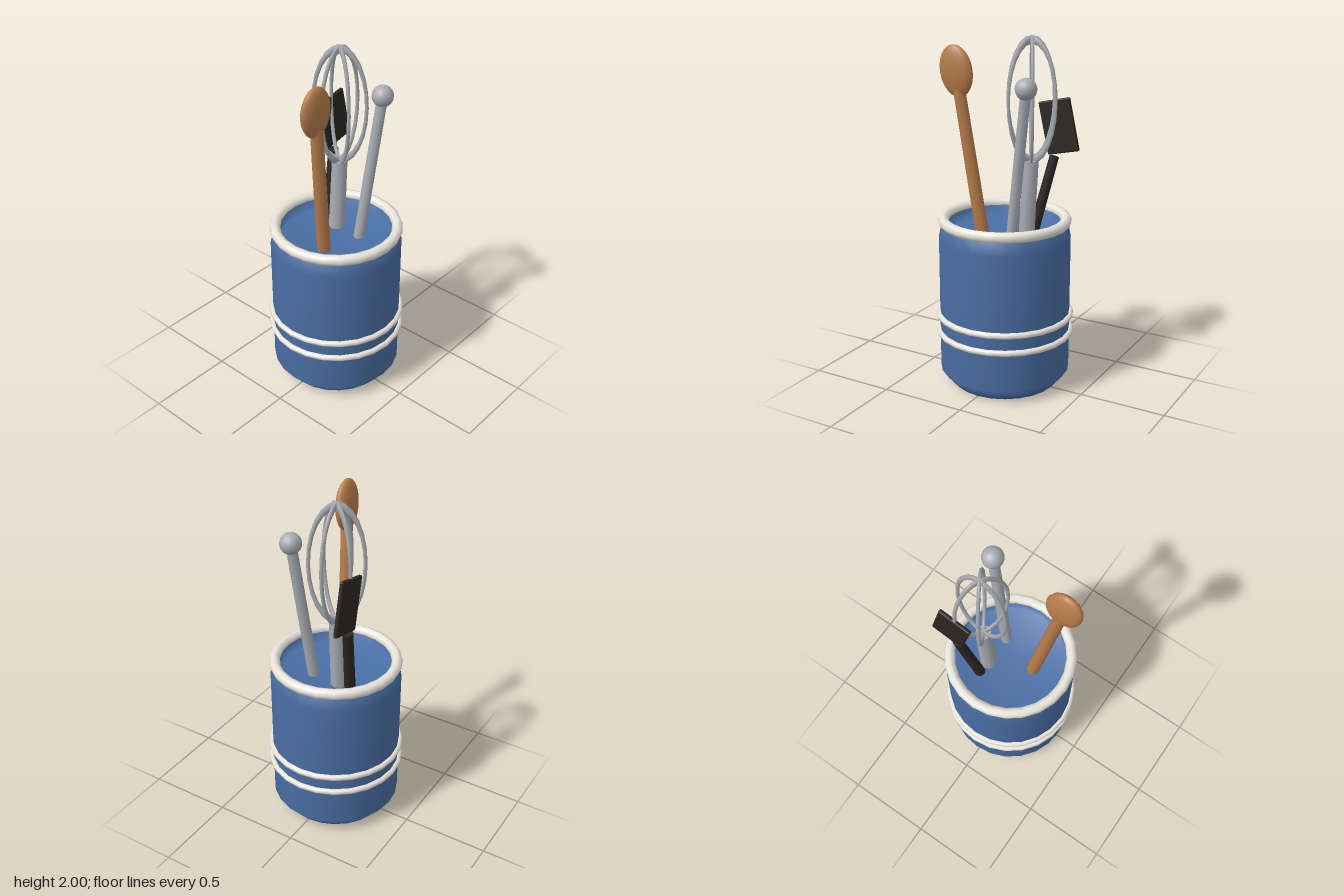
import * as THREE from 'three';
import { RoundedBoxGeometry } from 'three/addons/geometries/RoundedBoxGeometry.js';

const UP = new THREE.Vector3(0, 1, 0);
const material = (color) => new THREE.MeshStandardMaterial({ color });

function addMesh(parent, name, geometry, mat, x = 0, y = 0, z = 0) {
  const mesh = new THREE.Mesh(geometry, mat);
  mesh.name = name;
  mesh.position.set(x, y, z);
  parent.add(mesh);
  return mesh;
}

// Tapered round bar between two points
function addHandle(parent, name, from, to, rBottom, rTop, mat) {
  const a = new THREE.Vector3(...from), b = new THREE.Vector3(...to);
  const axis = b.clone().sub(a);
  const mesh = addMesh(parent, name, new THREE.CylinderGeometry(rTop, rBottom, axis.length(), 8), mat);
  mesh.position.copy(a).add(b).multiplyScalar(0.5);
  mesh.quaternion.setFromUnitVectors(UP, axis.normalize());
  return mesh;
}

function addGroup(parent, name) {
  const group = new THREE.Group();
  group.name = name;
  parent.add(group);
  return group;
}

export function createModel() {
  const model = new THREE.Group();
  model.name = 'utensilCrock';
  const blue = material(0x4a6fa5), cream = material(0xe8e4da), wood = material(0xb87d4b);
  const metal = material(0xa8adb3), black = material(0x2b2623);

  // Crock: chamfered foot, straight wall, shoulder and recessed inner floor
  const profile = [[0, 0], [0.307, 0], [0.375, 0.08], [0.375, 0.87], [0.355, 0.97],
    [0.32, 0.97], [0.32, 0.89], [0, 0.89]].map(([r, y]) => new THREE.Vector2(r, y));
  addMesh(model, 'crockBody', new THREE.LatheGeometry(profile, 24), blue);

  // Rim and the two decorative bands
  for (const [name, radius, tube, y] of [
    ['rim', 0.348, 0.031, 0.969], ['upperBand', 0.38, 0.018, 0.416], ['lowerBand', 0.38, 0.018, 0.313],
  ]) {
    addMesh(model, name, new THREE.TorusGeometry(radius, tube, 8, 24), cream, 0, y, 0).rotation.x = Math.PI / 2;
  }

  // Wooden spoon
  const spoon = addGroup(model, 'woodenSpoon');
  const spoonHandle = addHandle(spoon, 'spoonHandle', [-0.124, 0.8, 0.021], [-0.243, 1.7, 0.081], 0.039, 0.034, wood);
  const bowl = addMesh(spoon, 'spoonBowl', new THREE.SphereGeometry(1, 16, 12), wood, -0.256, 1.8, 0.088);
  bowl.scale.set(0.104, 0.146, 0.042);
  bowl.quaternion.copy(spoonHandle.quaternion);

  // Ball-ended metal utensil
  const ballTool = addGroup(model, 'ballTool');
  addHandle(ballTool, 'ballToolHandle', [0.081, 0.8, 0.085], [0.207, 1.73, 0.143], 0.032, 0.03, metal);
  addMesh(ballTool, 'ballToolEnd', new THREE.SphereGeometry(0.06, 16, 12), metal, 0.209, 1.745, 0.144);

  // Whisk: handle and three crossing wire loops
  const whisk = addGroup(model, 'whisk');
  addHandle(whisk, 'whiskHandle', [0.092, 0.8, -0.081], [0.122, 1.31, -0.082], 0.048, 0.044, metal);
  for (let i = 0; i < 3; i++) {
    const loop = addMesh(whisk, 'whiskLoop', new THREE.TorusGeometry(0.149, 0.0105, 6, 24), metal, 0.122, 1.645, -0.082);
    loop.scale.y = 2.225;
    loop.rotation.y = i * Math.PI / 3;
  }

  // Spatula: leaning handle and flat tilted blade
  const spatula = addGroup(model, 'spatula');
  addHandle(spatula, 'spatulaHandle', [0.085, 0.8, -0.15], [0.205, 1.315, -0.202], 0.033, 0.029, black);
  const blade = addMesh(spatula, 'spatulaBlade', new RoundedBoxGeometry(0.196, 0.303, 0.023, 2, 0.008), black, 0.226, 1.488, -0.213);
  blade.rotation.z = 0.22;

  return model;
}
